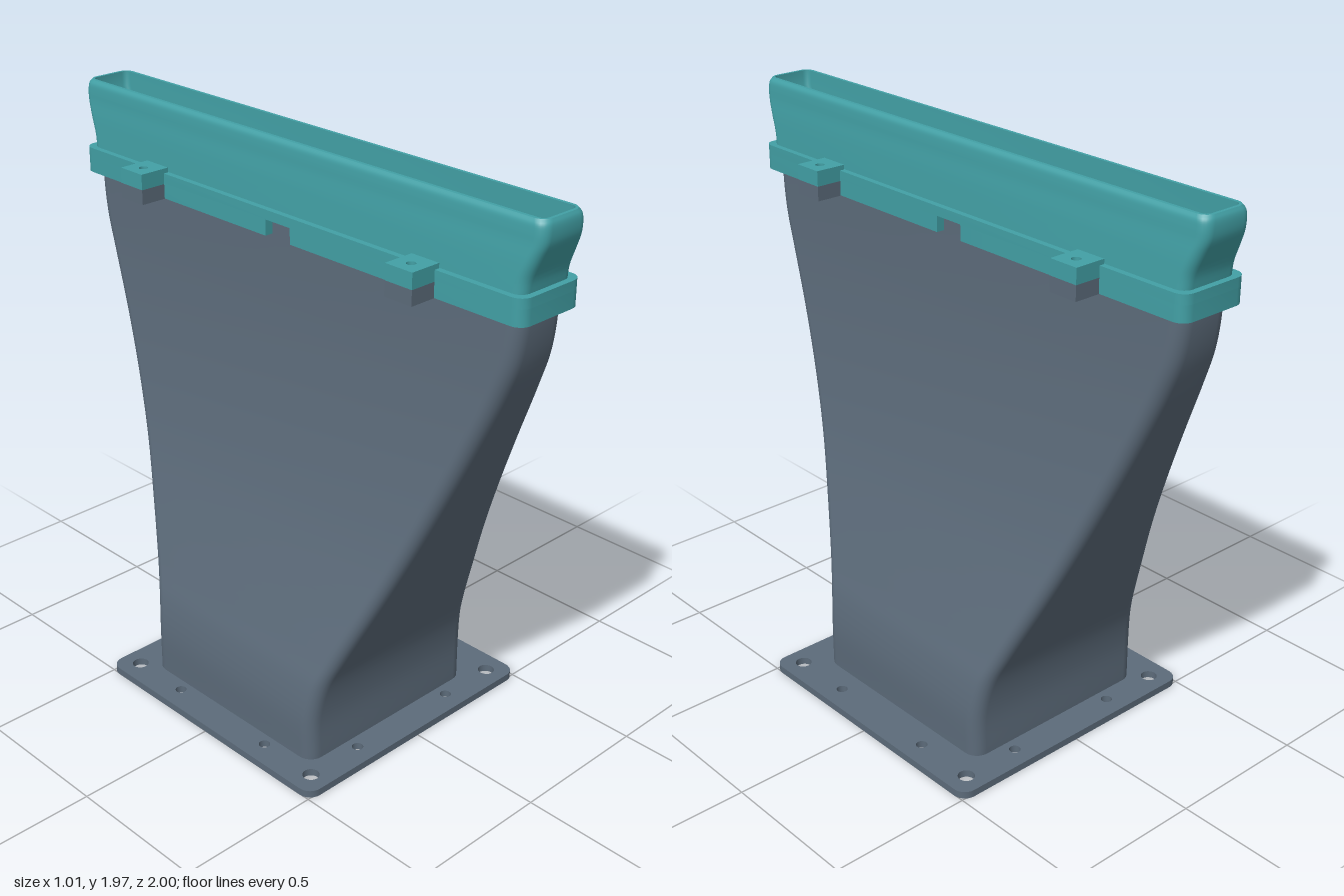
import * as THREE from 'three';
import { toCreasedNormals } from 'three/addons/utils/BufferGeometryUtils.js';

const CX = -0.02; // the duct sits slightly off the flange centre

// Smooth rounded edges, keep sharp ones (scaled up so close vertices stay distinct)
function crease(geo) {
  geo.scale(100, 100, 100);
  const out = toCreasedNormals(geo, 0.6);
  return out.scale(0.01, 0.01, 0.01);
}

// Rounded rectangle as a list of points, counterclockwise
function roundedRect(hx, hy, r, n = 6) {
  const pts = [];
  [[1, 1], [-1, 1], [-1, -1], [1, -1]].forEach(([sx, sy], q) => {
    for (let k = 0; k <= n; k++) {
      const a = (q + k / n) * Math.PI / 2;
      pts.push(new THREE.Vector2(sx * (hx - r) + r * Math.cos(a), sy * (hy - r) + r * Math.sin(a)));
    }
  });
  return pts;
}

// Closed-wall tube through rounded-rectangle sections [y, hx, hz, r]
function loft(sections) {
  const rings = sections.map(([y, hx, hz, r]) =>
    roundedRect(hx, hz, r).map(p => [p.x, y, -p.y]));
  const m = rings[0].length, n = rings.length, idx = [];
  for (let i = 0; i < n; i++) {
    for (let j = 0; j < m; j++) {
      const i2 = (i + 1) % n, j2 = (j + 1) % m;
      const a = i * m + j, b = i * m + j2, c = i2 * m + j2, d = i2 * m + j;
      idx.push(a, b, c, a, c, d);
    }
  }
  const geo = new THREE.BufferGeometry();
  geo.setAttribute('position', new THREE.Float32BufferAttribute(rings.flat(2), 3));
  geo.setIndex(idx);
  return crease(geo.toNonIndexed());
}

// Smooth list of [hx, y, hz] from a few key sections
function smooth(keys, steps) {
  const curve = new THREE.CatmullRomCurve3(keys.map(k => new THREE.Vector3(...k)));
  return curve.getPoints(steps);
}

// Horizontal plate from a shape drawn in x and -z
function plate(shape, y0, y1) {
  const geo = new THREE.ExtrudeGeometry(shape, { depth: y1 - y0, bevelEnabled: false, curveSegments: 16 });
  geo.rotateX(-Math.PI / 2).translate(0, y0, 0);
  return crease(geo);
}

function addHole(shape, x, y, r) {
  shape.holes.push(new THREE.Path().absarc(x, y, r, 0, Math.PI * 2, true));
}

export function createModel() {
  const grey = new THREE.MeshStandardMaterial({ color: 0x5c6b7a });
  grey.name = 'slate grey';
  const teal = new THREE.MeshStandardMaterial({ color: 0x42a0a5 });
  teal.name = 'teal';

  const model = new THREE.Group();
  const add = (name, geo, mat, parent) => {
    const mesh = new THREE.Mesh(geo, mat);
    mesh.name = name;
    parent.add(mesh);
    return mesh;
  };

  // Base flange with bolt holes and a duct opening
  const flange = new THREE.Shape(roundedRect(0.503, 0.51, 0.045));
  flange.holes.push(new THREE.Path(
    roundedRect(0.35, 0.375, 0.03).map(p => p.add(new THREE.Vector2(CX, 0))).reverse()));
  for (const s of [-1, 1]) {
    for (const t of [-1, 1]) {
      addHole(flange, s * 0.428, t * 0.438, 0.028);
      addHole(flange, s * 0.428, t * 0.215, 0.019);
      addHole(flange, s * 0.215, t * 0.438, 0.019);
    }
  }
  add('baseFlange', plate(flange, 0, 0.025), grey, model);

  const body = new THREE.Group();
  body.name = 'nozzle';
  body.position.x = CX;
  model.add(body);

  // Duct: broad square base turning into a long narrow slot
  const ductPath = smooth([
    [0.37, 0.025, 0.395], [0.37, 0.18, 0.395], [0.352, 0.3, 0.415], [0.322, 0.4, 0.453],
    [0.262, 0.6, 0.54], [0.208, 0.8, 0.625], [0.167, 1.0, 0.71], [0.136, 1.2, 0.795],
    [0.114, 1.4, 0.878], [0.106, 1.52, 0.92], [0.102, 1.63, 0.938], [0.1, 1.74, 0.94],
  ], 60);
  const ductOuter = ductPath.map(p => [p.y, p.x, p.z, 0.05]);
  const ductInner = ductPath.map(p => [p.y, p.x - 0.02 - 0.006 * p.y, p.z - 0.02, 0.03]).reverse();
  add('duct', loft([...ductOuter, ...ductInner]), grey, body);

  // Outlet lip, flaring at its ends
  const lipPath = smooth([
    [0.11, 1.74, 0.948], [0.107, 1.79, 0.955], [0.102, 1.85, 0.978],
    [0.096, 1.9, 0.997], [0.094, 1.935, 1.0], [0.091, 1.957, 0.997], [0.083, 1.97, 0.99],
  ], 24);
  const lipOuter = lipPath.map(p => [p.y, p.x, p.z, 0.035]);
  const lipInner = [[1.97, 0.072, 0.98, 0.02], [1.92, 0.072, 0.978, 0.02],
    [1.84, 0.071, 0.945, 0.02], [1.78, 0.07, 0.925, 0.02], [1.74, 0.07, 0.92, 0.02]];
  add('outletLip', loft([...lipOuter, ...lipInner]), teal, body);

  // Collar: full ring above, two U-shaped halves below leaving a notch on each side
  const outer = roundedRect(0.13, 0.97, 0.04);
  const inner = roundedRect(0.1, 0.94, 0.04);
  const ring = new THREE.Shape(outer);
  ring.holes.push(new THREE.Path(inner.slice().reverse()));
  add('collarRing', plate(ring, 1.718, 1.75), teal, body);
  const v = (x, y) => new THREE.Vector2(x, y);
  const half = new THREE.Shape([
    v(0.13, 0.055), ...outer.filter(p => p.y > 0), v(-0.13, 0.055),
    v(-0.1, 0.055), ...inner.filter(p => p.y > 0).reverse(), v(0.1, 0.055),
  ]);
  const halfGeo = plate(half, 1.665, 1.718);
  add('collarBack', halfGeo, teal, body);
  add('collarFront', halfGeo, teal, body).rotation.y = Math.PI;

  // Bolt lugs: teal upper half clamped to grey lower half
  const lug = (x0, y0, y1) => {
    const shape = new THREE.Shape([v(x0, -0.053), v(0.222, -0.053), v(0.222, 0.053), v(x0, 0.053)]);
    addHole(shape, 0.171, 0, 0.015);
    return plate(shape, y0, y1);
  };
  const upper = lug(0.112, 1.714, 1.766), lower = lug(0.125, 1.664, 1.714);
  for (const side of [0, Math.PI]) {
    for (const z of [-0.597, 0.597]) {
      const pair = new THREE.Group();
      pair.name = 'boltLug';
      pair.position.z = z;
      pair.rotation.y = side;
      add('upperLug', upper, teal, pair);
      add('lowerLug', lower, grey, pair);
      body.add(pair);
    }
  }
  return model;
}
